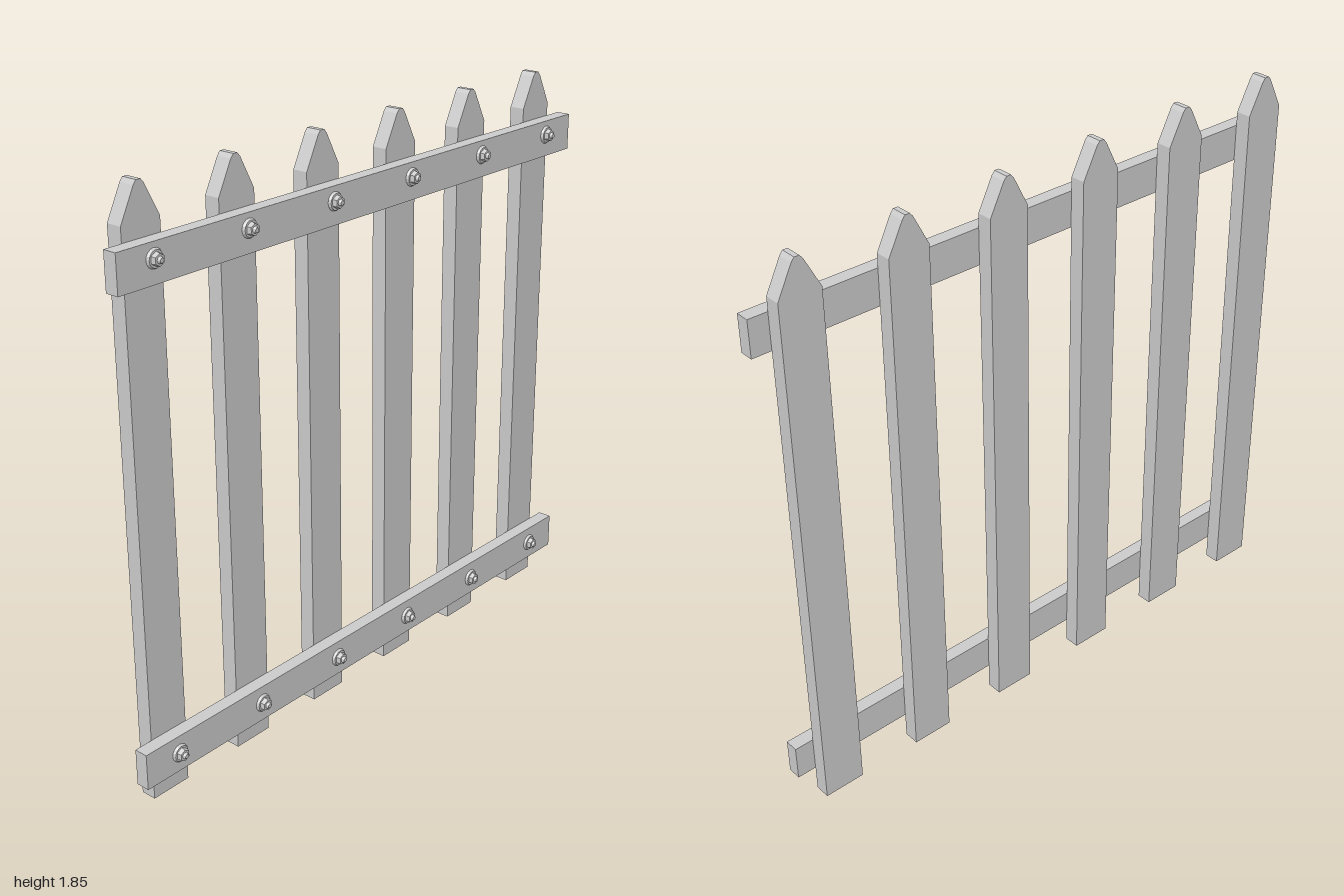
import * as THREE from 'three';

const material = new THREE.MeshStandardMaterial({ color: 0xcccccc, flatShading: true });

function add(parent, name, geometry, x, y, z) {
  const mesh = new THREE.Mesh(geometry, material);
  mesh.name = name;
  mesh.position.set(x, y, z);
  parent.add(mesh);
  return mesh;
}

// Cylinder whose axis points to the front, starting at z = 0
function disc(rFront, rBack, depth, sides) {
  return new THREE.CylinderGeometry(rFront, rBack, depth, sides)
    .rotateX(Math.PI / 2).translate(0, 0, depth / 2);
}

export function createModel() {
  const fence = new THREE.Group();
  fence.name = 'picketFence';

  const railHeights = [0.143, 1.637];
  const railFront = 0.035, railBack = -0.01, picketBack = -0.061;

  // Picket outline with a blunt pointed top
  const outline = new THREE.Shape([
    [-0.068, 0], [0.068, 0], [0.068, 1.74], [0.018, 1.838],
    [0.008, 1.85], [-0.008, 1.85], [-0.018, 1.838], [-0.068, 1.74],
  ].map(([x, y]) => new THREE.Vector2(x, y)));
  const picketGeometry = new THREE.ExtrudeGeometry(outline, {
    depth: railBack - picketBack, bevelEnabled: false,
  });

  // Bolt parts: washer, tapered hex nut and stud end
  const washer = disc(0.025, 0.029, 0.008, 16);
  const nut = disc(0.018, 0.021, 0.014, 6);
  const stud = disc(0.007, 0.011, 0.009, 12);

  // Horizontal rails
  const railGeometry = new THREE.BoxGeometry(2, 0.117, railFront - railBack);
  for (const y of railHeights) {
    add(fence, 'rail', railGeometry, 0, y, (railFront + railBack) / 2);
  }

  // Pickets, each bolted to both rails
  for (let i = 0; i < 6; i++) {
    const x = -0.871 + i * 0.348;
    add(fence, 'picket', picketGeometry, x, 0, picketBack);
    for (const y of [0.145, 1.65]) {
      const bolt = new THREE.Group();
      bolt.name = 'bolt';
      bolt.position.set(x, y, railFront);
      add(bolt, 'washer', washer, 0, 0, 0);
      add(bolt, 'nut', nut, 0, 0, 0.008);
      add(bolt, 'stud', stud, 0, 0, 0.021);
      fence.add(bolt);
    }
  }
  return fence;
}
